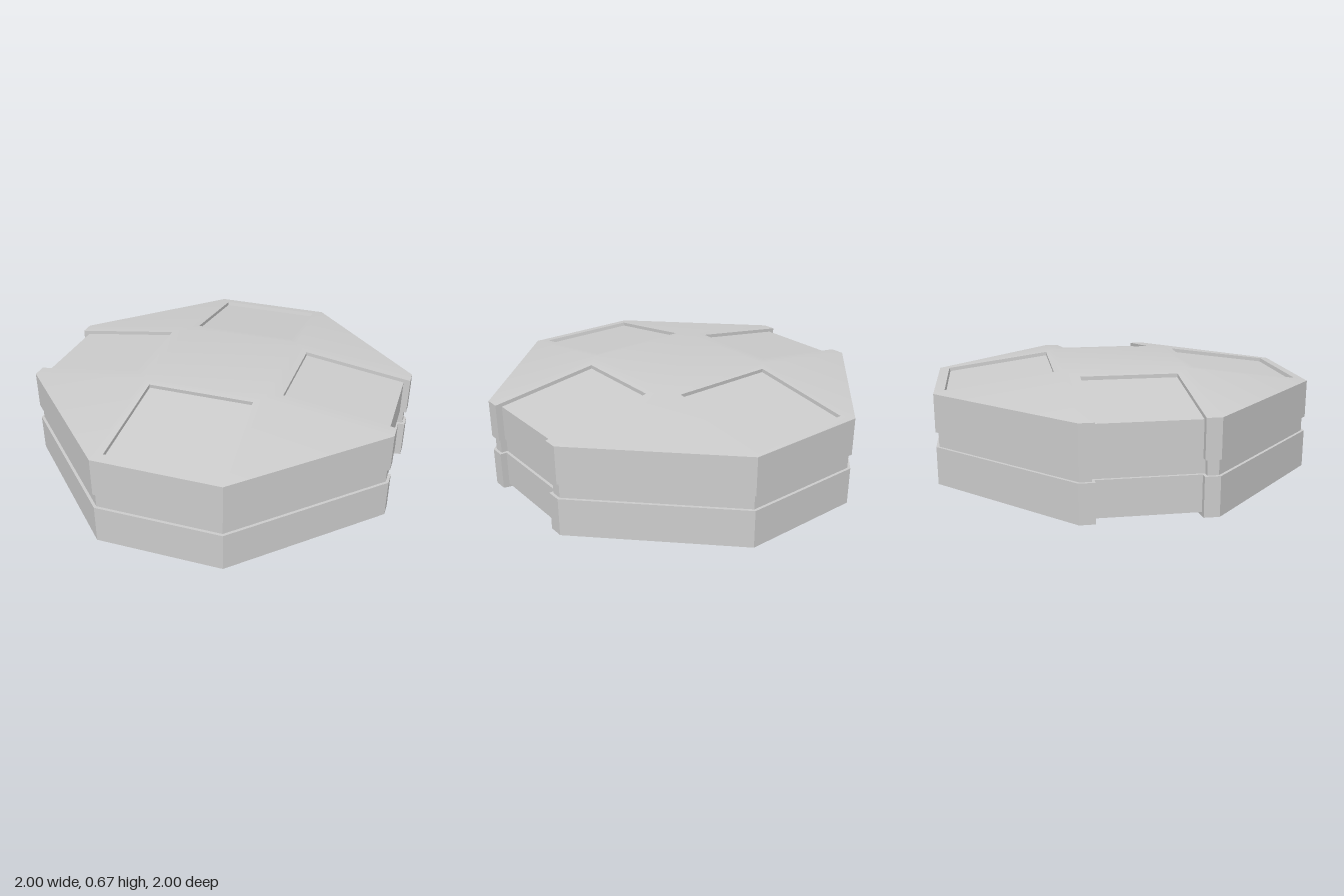
import * as THREE from 'three';
import { mergeGeometries, toCreasedNormals } from 'three/addons/utils/BufferGeometryUtils.js';

const MID = 0.335, TOP = 0.67, FLAT = 0.333, SLOPE = 0.138;
const GROOVE = 0.375, INSET = 0.015, DEPTH = 0.02;

// height of the faceted deck: flat middle, sloping down to the rim
const deckY = (x, z) => TOP - SLOPE * (Math.max(0, Math.abs(x) - FLAT) + Math.max(0, Math.abs(z) - FLAT));
const floorY = (x, z) => deckY(x, z) - DEPTH;
const level = y => () => y;
const turn = pts => pts.map(([x, z]) => [-x, -z]);

// horizontal outline with a notch on each side, shrunk by d
function outline(d) {
  const o = 1 - d, k = FLAT - d * 0.414, n = 0.255 + d, f = 0.965 - d;
  const half = [[k, -o], [o, -k], [o, -n], [f, -n], [f, n], [o, n], [o, k], [k, o]];
  return [...half, ...turn(half)];
}

// flat polygon draped over a height rule, facing up
function patch(pts, yAt, hole) {
  const toV = ([x, z]) => new THREE.Vector2(x, -z);
  const shape = new THREE.Shape(pts.map(toV));
  if (hole) shape.holes.push(new THREE.Path(hole.map(toV)));
  const geo = new THREE.ShapeGeometry(shape).rotateX(-Math.PI / 2).toNonIndexed();
  geo.deleteAttribute('uv');
  geo.deleteAttribute('normal');
  const p = geo.attributes.position;
  for (let i = 0; i < p.count; i++) p.setY(i, yAt(p.getX(i), p.getZ(i)));
  return geo;
}

// strip of quads between a lower and an upper path
function ribbon(low, lowY, high, highY, closed = false) {
  const v = [];
  const at = ([x, z], y) => [x, y(x, z), z];
  for (let i = 0; i < low.length - (closed ? 0 : 1); i++) {
    const j = (i + 1) % low.length;
    const a = at(low[i], lowY), b = at(high[i], highY), c = at(high[j], highY), d = at(low[j], lowY);
    v.push(...a, ...b, ...c, ...a, ...c, ...d);
  }
  return new THREE.BufferGeometry().setAttribute('position', new THREE.Float32BufferAttribute(v, 3));
}

// mirror through the middle plane, keeping faces outward
function mirrorY(geo) {
  const g = geo.clone(), p = g.attributes.position;
  const a = new THREE.Vector3(), b = new THREE.Vector3();
  for (let i = 0; i < p.count; i += 3) {
    a.fromBufferAttribute(p, i + 1);
    b.fromBufferAttribute(p, i + 2);
    p.setXYZ(i + 1, b.x, b.y, b.z);
    p.setXYZ(i + 2, a.x, a.y, a.z);
  }
  for (let i = 0; i < p.count; i++) p.setY(i, 2 * MID - p.getY(i));
  return g;
}

export function createModel() {
  const group = new THREE.Group();
  const material = new THREE.MeshStandardMaterial({ color: 0xcccccc });
  const F = FLAT;
  const deck = [], panels = [], rim = [], groove = [];

  // deck middle and corner facets
  deck.push(patch([[-F, -F], [F, -F], [F, F], [-F, F]], deckY));
  for (const sx of [-1, 1]) for (const sz of [-1, 1])
    deck.push(patch([[F * sx, F * sz], [sx, F * sz], [F * sx, sz]], deckY));

  const endHole = [[-0.285, 0.945], [0.285, 0.945], [0.285, 0.38], [-0.285, 0.38]];
  const endFloor = [[-0.285, 0.94], [0.285, 0.94], [0.285, 0.378], [-0.285, 0.378]];
  const endDeck = [[-F, F], [F, F], [F, 1], [-F, 1]];
  const sideCut = [[0.965, -0.255], [0.41, -0.255], [0.41, 0.255], [0.965, 0.255]];
  const sideDeck = [[F, -F], [1, -F], [1, -0.255], [0.41, -0.255], [0.41, 0.255], [1, 0.255], [1, F], [F, F]];
  for (const side of [p => p, turn]) {
    // front and back: closed sunken panels
    deck.push(patch(side(endDeck), deckY, side(endHole)));
    panels.push(patch(side(endFloor), floorY));
    panels.push(ribbon(side(endFloor), floorY, side(endHole), deckY, true));
    // left and right: sunken panels running out through the rim
    deck.push(patch(side(sideDeck), deckY));
    panels.push(patch(side(sideCut), floorY));
    panels.push(ribbon(side(sideCut), floorY, side(sideCut), deckY));
  }

  // rim walls, lower where a panel runs out
  const outer = outline(0), inner = outline(INSET);
  outer.forEach((p, i) => {
    const seg = [p, outer[(i + 1) % outer.length]];
    rim.push(ribbon(seg, level(GROOVE), seg, i % 8 === 3 ? floorY : deckY));
  });

  // groove wall and the ledge above it
  groove.push(ribbon(inner, level(MID), inner, level(GROOVE), true));
  groove.push(ribbon(inner, level(GROOVE), outer, level(GROOVE), true));

  for (const [name, parts] of Object.entries({ deck, sunkenPanels: panels, rim, groove })) {
    const upper = mergeGeometries(parts);
    for (const [prefix, geo] of [['upper', upper], ['lower', mirrorY(upper)]]) {
      const mesh = new THREE.Mesh(toCreasedNormals(geo, Math.PI / 6), material);
      mesh.name = prefix + name[0].toUpperCase() + name.slice(1);
      group.add(mesh);
    }
  }
  return group;
}
